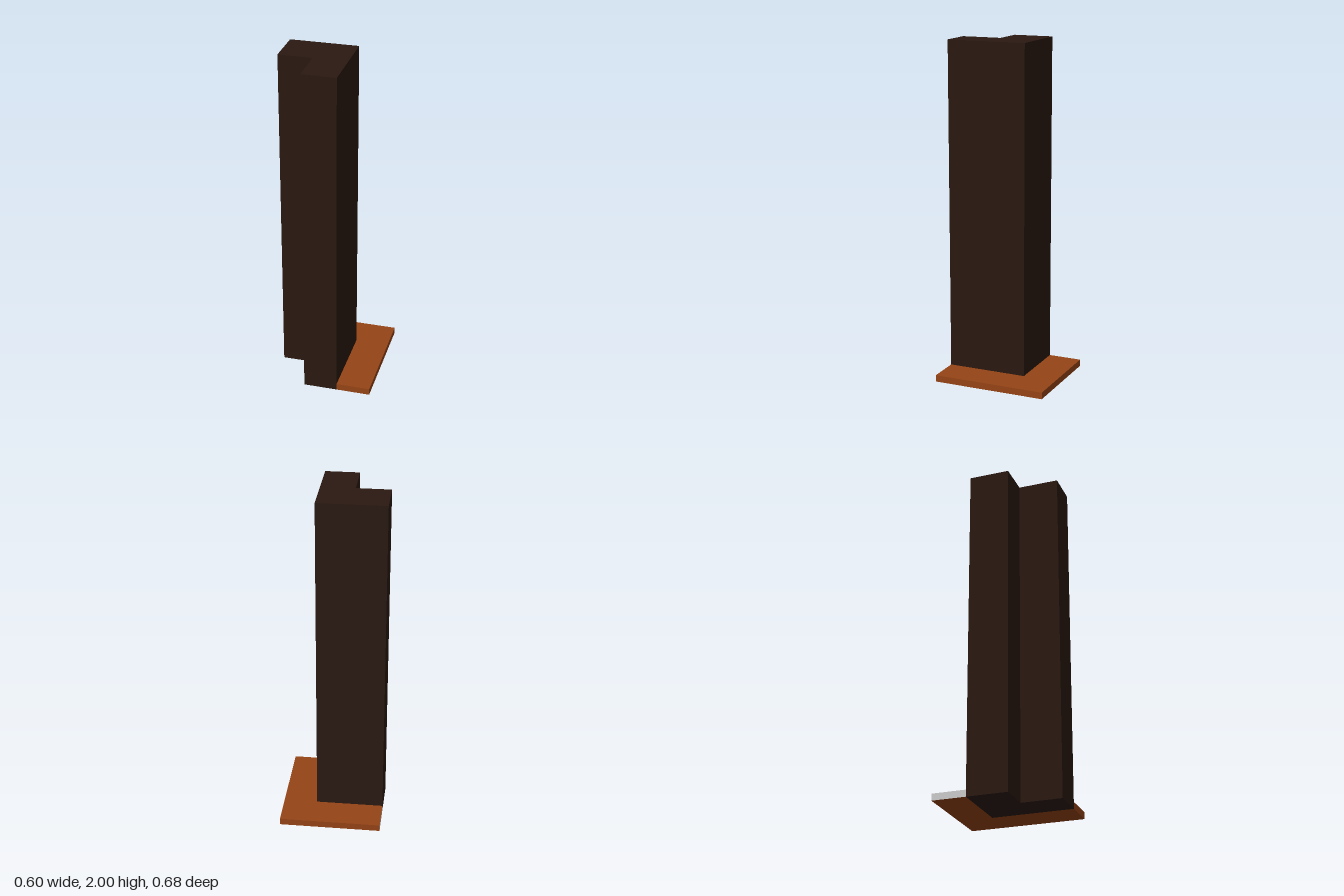
import * as THREE from 'three';

const dark = new THREE.MeshStandardMaterial({ color: 0x2a1911 });
const rust = new THREE.MeshStandardMaterial({ color: 0x964415 });
const grey = new THREE.MeshStandardMaterial({ color: 0xcccccc });

// Box standing on y = 0, given by its x and z ranges
function slab(name, x0, x1, z0, z1, height, material) {
  const mesh = new THREE.Mesh(new THREE.BoxGeometry(x1 - x0, height, z1 - z0), material);
  mesh.position.set((x0 + x1) / 2, height / 2, (z0 + z1) / 2);
  mesh.name = name;
  return mesh;
}

export function createModel() {
  const model = new THREE.Group();
  model.name = 'cornerPost';

  // L-shaped post, drawn in plan (x, -z) and raised to full height
  const plan = new THREE.Shape([
    [-0.3, 0.14], [-0.3, -0.1], [-0.1, -0.1], [-0.1, -0.34], [0.1, -0.34], [0.1, 0.14],
  ].map(([x, y]) => new THREE.Vector2(x, y)));
  const postGeometry = new THREE.ExtrudeGeometry(plan, { depth: 2, bevelEnabled: false });
  postGeometry.rotateX(-Math.PI / 2);
  const post = new THREE.Mesh(postGeometry, dark);
  post.name = 'post';
  model.add(post);

  // Thin ledge around the two outer sides; the back strip has a bare grey end
  const base = new THREE.Group();
  base.name = 'baseLedge';
  base.add(
    slab('backLedge', -0.3, 0.3, -0.34, -0.14, 0.04, [rust, grey, rust, rust, rust, rust]),
    slab('sideLedge', 0.1, 0.3, -0.14, 0.34, 0.04, rust),
  );
  model.add(base);

  return model;
}
